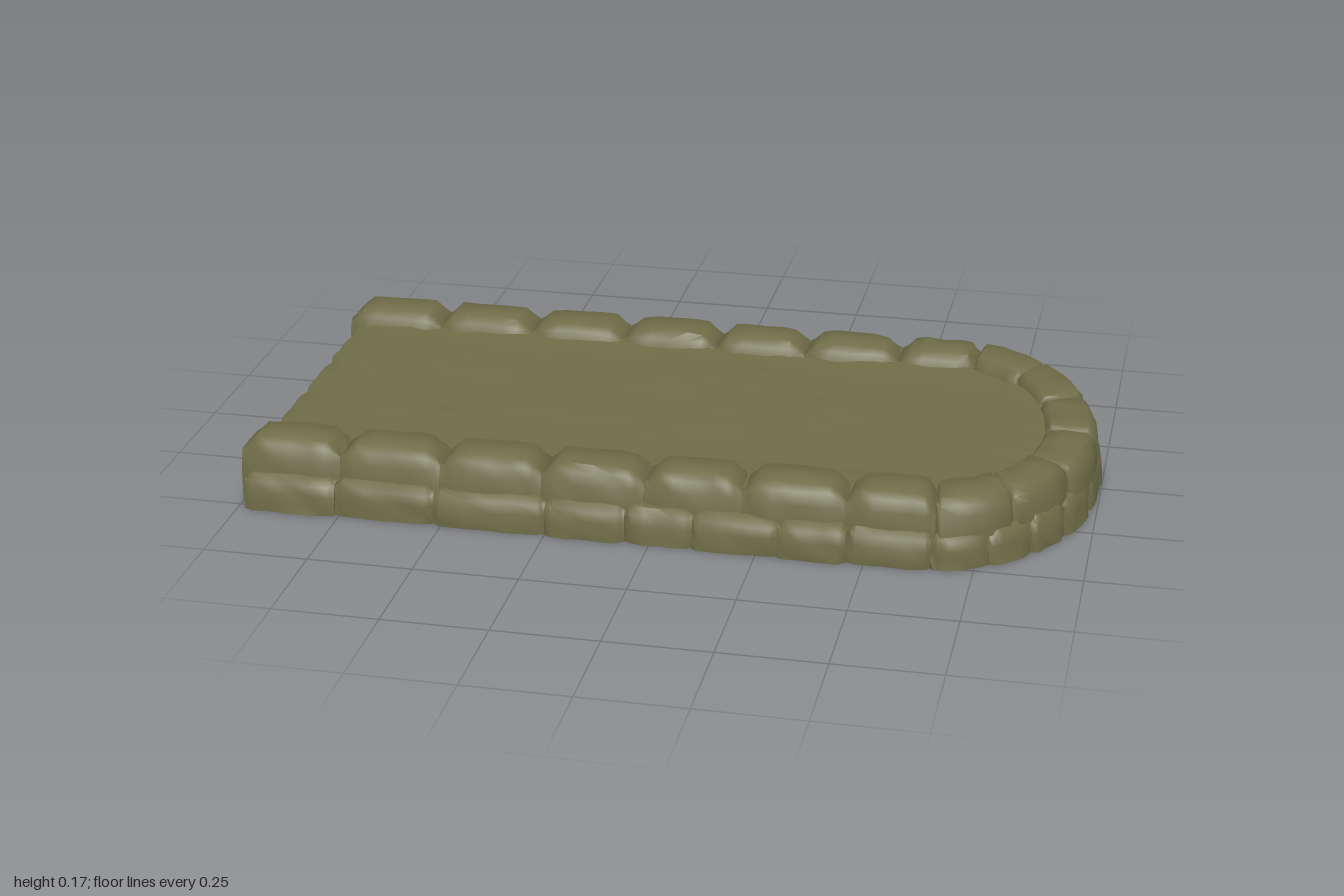
import * as THREE from 'three';
import { toCreasedNormals } from 'three/addons/utils/BufferGeometryUtils.js';

const ARC = 0.62;      // x where the straight sides turn into the rounded end
const ARC_LEN = 0.7;   // path length given to a quarter of the rounded end

let seed = 11;
function rand() {
  seed = (seed * 16807) % 2147483647;
  return seed / 2147483647;
}
const jitter = (amount) => (rand() * 2 - 1) * amount;

// Skin a list of closed rings, capping both ends
function loft(rings, flip, crease) {
  const n = rings[0].length;
  const index = [];
  const tri = (a, b, c) => (flip ? index.push(a, c, b) : index.push(a, b, c));
  for (let i = 0; i < rings.length - 1; i++) {
    for (let j = 0; j < n; j++) {
      const k = (j + 1) % n;
      const a = i * n + j, b = i * n + k;
      tri(a, b, b + n);
      tri(a, b + n, a + n);
    }
  }
  const last = (rings.length - 1) * n;
  for (let j = 1; j < n - 1; j++) {
    tri(0, j + 1, j);
    tri(last, last + j, last + j + 1);
  }
  const geometry = new THREE.BufferGeometry();
  geometry.setAttribute('position', new THREE.Float32BufferAttribute(rings.flat(2), 3));
  geometry.setIndex(index);
  return toCreasedNormals(geometry, crease);
}

// Point on the wall path: u runs along it, off is the distance from the centre line
function wallPoint(u, off, y, side) {
  if (u <= ARC) return [u, y, side * off];
  const a = ((u - ARC) / ARC_LEN) * Math.PI / 2;
  const rx = 0.24 + (off - 0.36) * 0.82;
  return [ARC + rx * Math.sin(a), y, side * off * Math.cos(a)];
}

// One worn stone following the path from u0 to u1; its ends pinch in and drop to endTop
function stone(u0, u1, side, profile, endTop, bevel, wobble) {
  const len = u1 - u0;
  const stations = [[0, 1], [bevel * 0.5, 0.55], [bevel, 0.08]];
  for (const t of [0.3, 0.5, 0.7]) stations.push([len * t, 0]);
  stations.push([len - bevel, 0.08], [len - bevel * 0.5, 0.55], [len, 1]);
  const mid = (profile[0][0] + profile[profile.length - 1][0]) / 2;
  const shift = jitter(wobble);
  const rings = stations.map(([d, pinch]) => profile.map(([off, y]) => {
    const drop = Math.max(0, y - endTop) * pinch;
    const inset = (mid - off) * 0.17 * pinch;
    const outer = off > mid ? shift + jitter(wobble * 0.6) : jitter(wobble * 0.4);
    const lift = y > 0.03 ? jitter(0.0025) : 0;
    return wallPoint(u0 + d, off + inset + outer, y - drop + lift, side);
  }));
  return loft(rings, side < 0, 1.0);
}

// Cross-section of the upper course; wide pushes its outer face out
const upperProfile = (top, wide) => [
  [0.345, 0], [0.348, 0.11], [0.358, top - 0.016], [0.373, top],
  [0.42, top + 0.001], [0.465 + wide, top], [0.481 + wide, top - 0.016],
  [0.489 + wide, 0.12], [0.498 + wide, 0.085], [0.5 + wide, 0],
];
const footingProfile = [
  [0.40, 0], [0.40, 0.07], [0.47, 0.09], [0.505, 0.086],
  [0.518, 0.07], [0.524, 0.045], [0.527, 0.02], [0.527, 0],
];

// Slab with an uneven flagstone surface, square at one end and rounded at the other
function floorGeometry() {
  const tiles = Array.from({ length: 80 }, () => jitter(0.004));
  const rings = [];
  const steps = 40, across = 24;
  for (let i = 0; i <= steps; i++) {
    const x = -0.975 + 1.893 * (i / steps);
    const k = Math.max(0, (x - ARC) / 0.3);
    const w = 0.46 * Math.sqrt(Math.max(0.002, 1 - k * k));
    const edge = i === 0 ? -0.012 : 0;
    const ring = [[x - 0.008, 0, -w]];
    for (let j = 0; j <= across; j++) {
      const z = -w + (2 * w * j) / across;
      const row = Math.floor((z + 0.5) / 0.21);
      const col = Math.floor((x + 1 + (row % 2) * 0.16) / 0.33);
      const rubble = Math.abs(z) > w - 0.15 ? 0.008 * rand() : 0;
      const y = 0.129 + tiles[row * 8 + col] + jitter(0.0018) + rubble + edge;
      ring.push([x + jitter(0.006), y, z]);
    }
    ring.push([x - 0.008, 0, w]);
    rings.push(ring);
  }
  return loft(rings, false, 0.8);
}

export function createModel() {
  const model = new THREE.Group();
  model.name = 'stonePlatform';
  const mossStone = new THREE.MeshStandardMaterial({ color: 0x6e6c47 });
  mossStone.name = 'mossStone';

  const add = (parent, name, geometry) => {
    const mesh = new THREE.Mesh(geometry, mossStone);
    mesh.name = name;
    parent.add(mesh);
  };

  add(model, 'floorSlab', floorGeometry());

  // Joints between stones along each side, then round the end to the middle
  const sideJoints = [-0.998, -0.755, -0.51, -0.265, -0.02, 0.21, 0.45, 0.67];
  const endJoints = [0.67, 0.9, 1.11, 1.32];
  const endTops = [0.161, 0.156, 0.15];
  const footJoints = [-0.982, -0.76, -0.52, -0.25, -0.06, 0.1, 0.3, 0.46, 0.66, 0.82, 0.95, 1.07, 1.2, 1.32];

  for (const side of [1, -1]) {
    const wall = new THREE.Group();
    wall.name = side > 0 ? 'frontWall' : 'backWall';
    model.add(wall);

    // Parapet blocks with notches between them
    for (let i = 0; i < sideJoints.length - 1; i++) {
      add(wall, 'parapetStone',
        stone(sideJoints[i], sideJoints[i + 1], side, upperProfile(0.167, 0), 0.133, 0.036, 0.005));
    }
    // Closely fitted blocks round the end, nearly level with the floor
    for (let i = 0; i < endTops.length; i++) {
      add(wall, 'endStone',
        stone(endJoints[i], endJoints[i + 1], side, upperProfile(endTops[i], 0.006 * (i + 1)), endTops[i] - 0.01, 0.014, 0.004));
    }
    // Wider footing course
    for (let i = 0; i < footJoints.length - 1; i++) {
      add(wall, 'footingStone',
        stone(footJoints[i], footJoints[i + 1], side, footingProfile, 0.075, 0.018, 0.006));
    }
  }
  return model;
}
